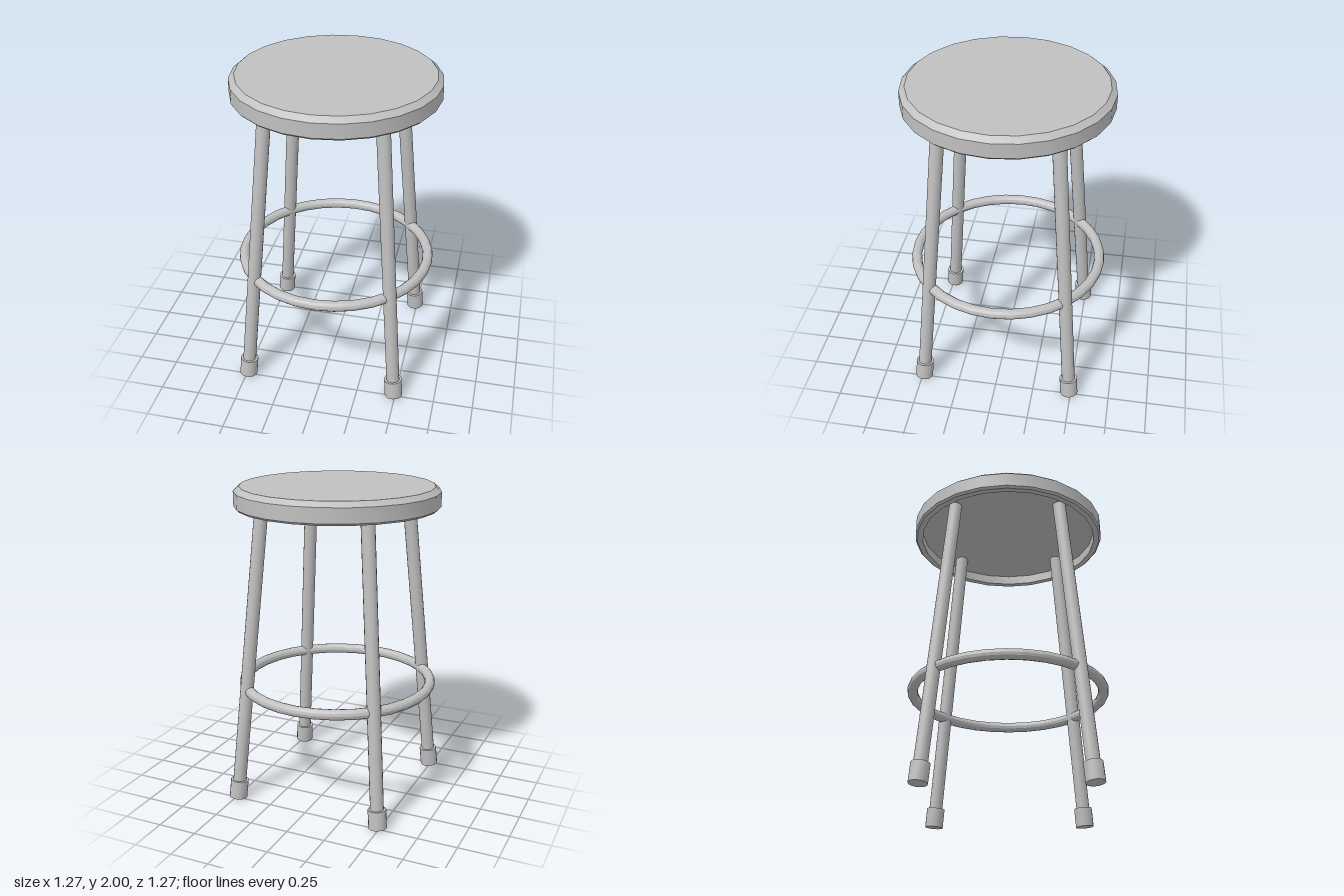
import * as THREE from 'three';
import { toCreasedNormals } from 'three/addons/utils/BufferGeometryUtils.js';

export function createModel() {
  const stool = new THREE.Group();
  stool.name = 'stool';
  const metal = new THREE.MeshStandardMaterial({ color: 0xc0c0c0 });
  metal.name = 'greyMetal';

  const add = (name, geometry, parent = stool) => {
    const mesh = new THREE.Mesh(toCreasedNormals(geometry, 0.5), metal);
    mesh.name = name;
    parent.add(mesh);
    return mesh;
  };

  // Seat: bevelled pan, hollow underneath
  const profile = [
    [0, 1.93], [0.585, 1.93], [0.585, 1.867], [0.622, 1.867],
    [0.635, 1.88], [0.635, 1.97], [0.6, 2], [0, 2],
  ].map(([r, y]) => new THREE.Vector2(r, y));
  add('seat', new THREE.LatheGeometry(profile, 24));

  // Foot ring
  const ring = add('footRing', new THREE.TorusGeometry(0.602, 0.033, 12, 32).rotateX(Math.PI / 2));
  ring.position.y = 0.735;

  // Splayed legs with rubber feet, built along y and then tilted outward
  const base = new THREE.Vector3(0.489, 0.0065, 0.489);
  const top = new THREE.Vector3(0.338, 1.94, 0.338);
  const axis = top.clone().sub(base);
  const length = axis.length();
  const tilt = new THREE.Quaternion().setFromUnitVectors(
    new THREE.Vector3(0, 1, 0), axis.normalize());
  const footHeight = 0.12;

  ['frontLeft', 'backLeft', 'backRight', 'frontRight'].forEach((side, i) => {
    const corner = new THREE.Group();
    corner.name = side + 'Corner';
    corner.rotation.y = i * Math.PI / 2;
    stool.add(corner);

    const assembly = new THREE.Group();
    assembly.name = side + 'LegAssembly';
    assembly.position.copy(base);
    assembly.quaternion.copy(tilt);
    corner.add(assembly);

    const leg = add(side + 'Leg',
      new THREE.CylinderGeometry(0.042, 0.042, length - 0.05, 16), assembly);
    leg.position.y = (length + 0.05) / 2;
    const foot = add(side + 'Foot',
      new THREE.CylinderGeometry(0.057, 0.057, footHeight, 16), assembly);
    foot.position.y = footHeight / 2;
  });

  return stool;
}
